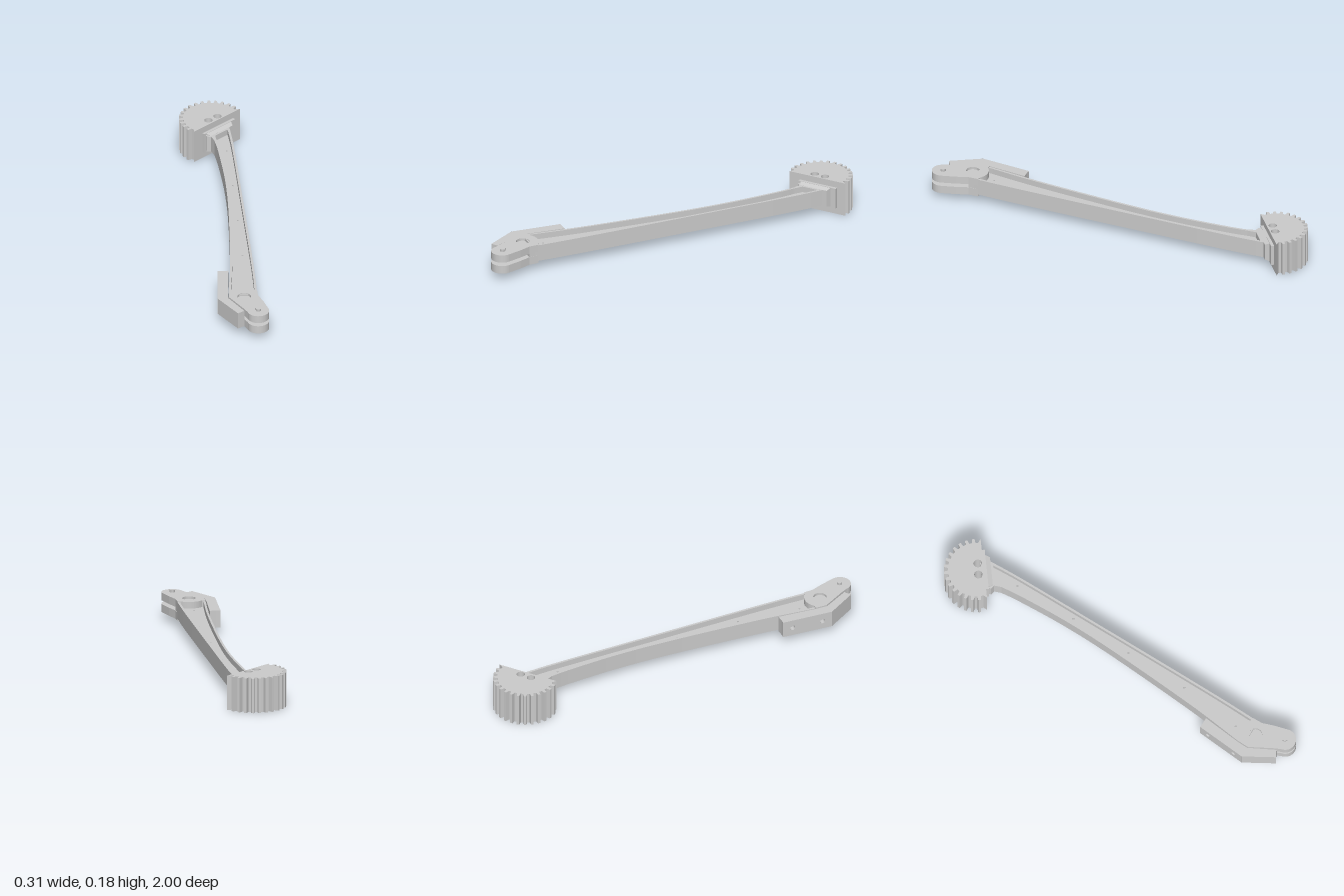
import * as THREE from 'three';

const grey = new THREE.MeshStandardMaterial({ color: 0xcccccc, side: THREE.DoubleSide });

function add(group, name, geometry) {
  const mesh = new THREE.Mesh(geometry, grey);
  mesh.name = name;
  group.add(mesh);
  return mesh;
}

// Plan outline of [x, z] points raised from y0 to y1
const toPlan = (pts) => pts.map(([x, z]) => new THREE.Vector2(x, -z));
function slab(pts, y0, y1, holes = []) {
  const shape = new THREE.Shape(toPlan(pts));
  holes.forEach((h) => shape.holes.push(new THREE.Path(toPlan(h))));
  const geo = new THREE.ExtrudeGeometry(shape, { depth: y1 - y0, bevelEnabled: false });
  return geo.rotateX(-Math.PI / 2).translate(0, y0, 0);
}

function arc(cx, cz, r, from, to, n) {
  return Array.from({ length: n + 1 }, (_, i) => {
    const a = from + ((to - from) * i) / n;
    return [cx + r * Math.cos(a), cz + r * Math.sin(a)];
  });
}
const circle = (x, z, r, n = 24) => arc(x, z, r, 0, Math.PI * 2 * (1 - 1 / n), n - 1);

// Smooth curve through [x, z] points, optionally shifted in x
function smooth(pts, dx = 0) {
  const curve = new THREE.SplineCurve(pts.map(([x, z]) => new THREE.Vector2(x + dx, z)));
  return curve.getPoints(40).map((p) => [p.x, p.y]);
}

// Sector gear: toothed rim cut by a slanted flat face
function gearOutline() {
  const teeth = 28, tip = 0.163, root = 0.142, cx = 0.005, cz = -0.837;
  const mid = Math.atan2(-0.8, -0.6), half = 1.74;
  const pts = [[-0.095, -0.714]];
  const profile = [[-0.3, root], [-0.17, tip], [0.17, tip], [0.3, root]];
  // walk from the left end of the flat face round the back to the right end
  for (let i = -teeth / 2; i < teeth / 2; i++) {
    for (const [offset, r] of profile) {
      const a = ((i + offset) / teeth) * Math.PI * 2;
      if (Math.abs(a) < half) pts.push([cx + r * Math.cos(mid + a), cz + r * Math.sin(mid + a)]);
    }
  }
  pts.push([0.157, -0.905]);
  return pts;
}

export function createModel() {
  const model = new THREE.Group();
  model.name = 'gearedArm';

  add(model, 'sectorGear', slab(gearOutline(), 0, 0.178,
    [circle(-0.012, -0.815, 0.021), circle(0.037, -0.848, 0.021)]));

  // Flange on the flat face, with a tapered neck leading into the arm
  const joint = new THREE.Group();
  joint.name = 'gearFlange';
  joint.position.set(0.035, 0.09, -0.812);
  joint.rotation.y = Math.atan2(0.6, 0.8);
  model.add(joint);
  add(joint, 'flangePlate', new THREE.BoxGeometry(0.21, 0.11, 0.03));
  const neck = new THREE.BoxGeometry(0.17, 0.105, 0.025);
  const p = neck.attributes.position;
  for (let i = 0; i < p.count; i++) {
    if (p.getZ(i) > 0) p.setXY(i, p.getX(i) * 0.88, p.getY(i) * 0.82);
  }
  neck.computeVertexNormals();
  add(joint, 'flangeNeck', neck).position.set(-0.008, 0.002, 0.025);

  // Arm: I-section with a tall rim round a thin web
  const leftEdge = [[0.004, -0.69], [0.012, -0.58], [0.016, -0.32], [0.002, -0.03],
    [-0.042, 0.45], [-0.08, 0.73], [-0.084, 0.78]];
  const rightEdge = [[0.058, 0.78], [0.07, 0.5], [0.085, -0.13], [0.095, -0.61], [0.092, -0.82]];
  const outer = [[-0.035, -0.76], [-0.03, -0.73], [-0.008, -0.725],
    ...smooth(leftEdge), ...smooth(rightEdge), [0.092, -0.855]];
  const innerLeft = leftEdge.map(([x, z]) => [x, Math.min(z, 0.765)]);
  const innerRight = rightEdge.map(([x, z]) => [x, Math.max(Math.min(z, 0.765), -0.785)]);
  const inner = [...smooth(innerLeft, 0.011), ...smooth(innerRight, -0.011), [0.014, -0.735]];
  add(model, 'armRim', slab(outer, 0.049, 0.135, [inner]));
  const pinholes = [[0.06, -0.63], [0.056, -0.3], [0.043, 0.03], [0.03, 0.365], [-0.012, 0.69]];
  add(model, 'armWeb', slab(inner, 0.079, 0.105, pinholes.map(([x, z]) => circle(x, z, 0.005, 10))));

  // Forked end: two mirrored cheeks, each with a shallow round pocket
  const cheek = [
    [-0.083, 0.745], ...arc(-0.01, 0.805, 0.08, -2.3, -0.85, 12), [0.06, 0.75], [0.06, 0.8],
    [0.08, 0.86], ...arc(0.045, 0.945, 0.055, -0.35, 2.95, 24), [-0.022, 0.925], [-0.086, 0.805],
  ];
  const pocket = circle(-0.01, 0.805, 0.034);
  const fork = new THREE.Group();
  fork.name = 'fork';
  model.add(fork);
  add(fork, 'upperCheek', slab(cheek, 0.099, 0.126));
  add(fork, 'upperCheekFace', slab(cheek, 0.126, 0.139, [pocket]));
  add(fork, 'lowerCheek', slab(cheek, 0.05, 0.08));
  add(fork, 'lowerCheekFace', slab(cheek, 0.038, 0.05, [pocket]));
  add(fork, 'forkRoot', slab([[-0.082, 0.75], [0.058, 0.75], [0.059, 0.8], [-0.084, 0.8]], 0.075, 0.104));

  // Pivot pin through the fork
  const pin = new THREE.Group();
  pin.name = 'pivotPin';
  pin.position.set(0.046, 0, 0.943);
  model.add(pin);
  add(pin, 'pinShaft', new THREE.CylinderGeometry(0.012, 0.012, 0.108, 20)).position.y = 0.093;
  add(pin, 'pinHead', new THREE.CylinderGeometry(0.015, 0.015, 0.015, 6)).position.y = 0.144;
  add(pin, 'pinFoot', new THREE.CylinderGeometry(0.026, 0.026, 0.01, 24)).position.y = 0.038;

  // Side block: a core and an outer plate bored with two holes
  const block = new THREE.Group();
  block.name = 'sideBlock';
  model.add(block);
  add(block, 'blockCore', slab([[-0.092, 0.547], [-0.062, 0.547], [-0.087, 0.75], [-0.09, 0.805],
    [-0.024, 0.935], [-0.058, 0.955], [-0.143, 0.806], [-0.118, 0.803]], 0.046, 0.135));
  const length = 0.261, height = 0.089;
  const face = new THREE.Shape([[0, 0], [length, 0], [length, height], [0, height]]
    .map(([x, y]) => new THREE.Vector2(x, y)));
  for (const x of [0.05, 0.21]) {
    face.holes.push(new THREE.Path().absarc(x, height / 2, 0.014, 0, Math.PI * 2, true));
  }
  const plate = add(block, 'blockPlate',
    new THREE.ExtrudeGeometry(face, { depth: 0.026, bevelEnabled: false, curveSegments: 20 }));
  // local x runs along the outer face toward the fork, local -z points inward after turning
  plate.rotation.y = Math.atan2(-0.26, -0.027);
  plate.position.set(-0.117 + 0.026, 0.046, 0.548);
  return model;
}
